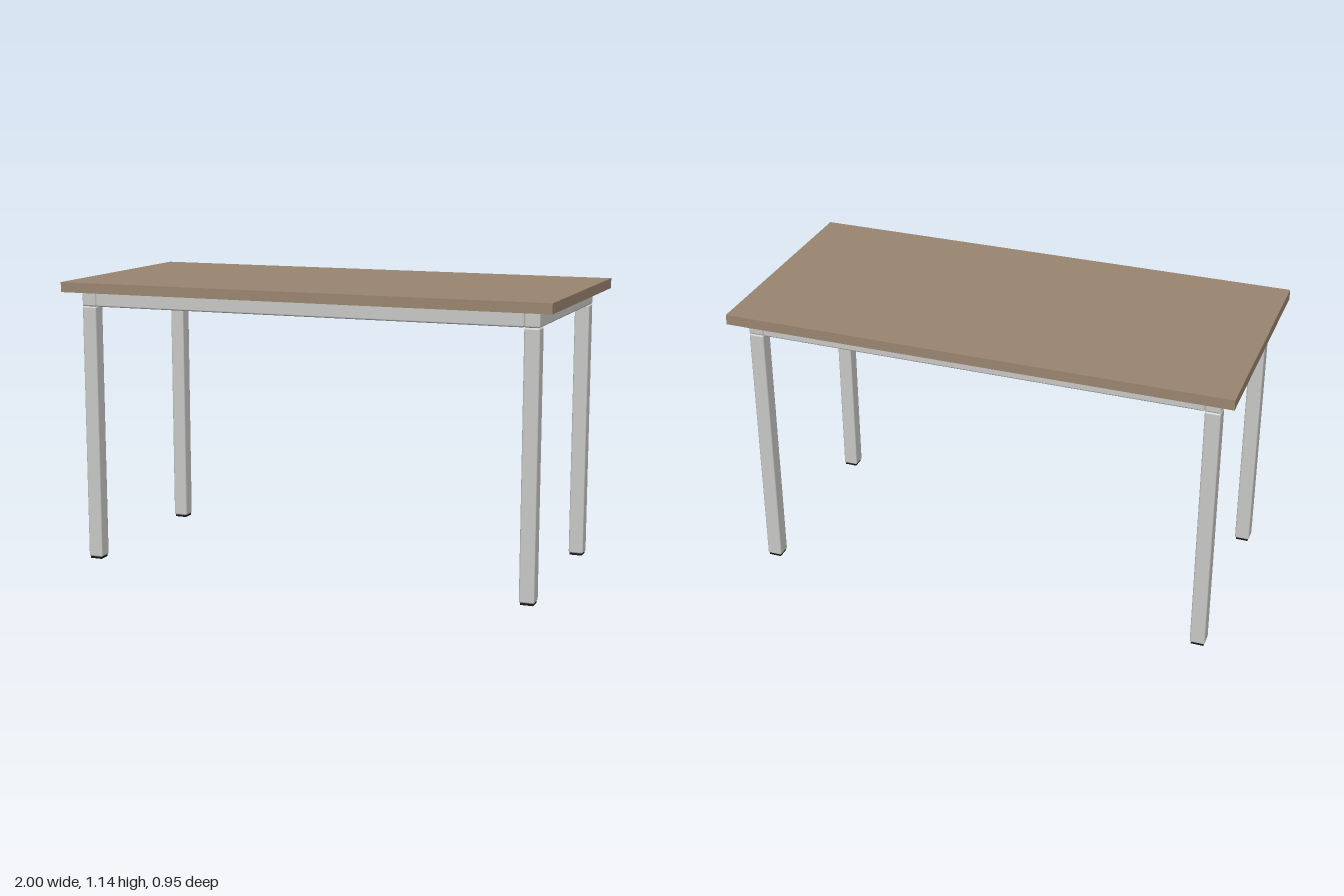
import * as THREE from 'three';
import { RoundedBoxGeometry } from 'three/addons/geometries/RoundedBoxGeometry.js';

const material = (name, color) => {
  const m = new THREE.MeshStandardMaterial({ color });
  m.name = name;
  return m;
};

export function createModel() {
  const table = new THREE.Group();
  table.name = 'table';

  const wood = material('brown laminate', 0x9a8670);
  const metal = material('light grey metal', 0xc9c9c7);
  const black = material('black plastic', 0x161616);

  const add = (name, geometry, mat, x, y, z) => {
    const mesh = new THREE.Mesh(geometry, mat);
    mesh.name = name;
    mesh.position.set(x, y, z);
    table.add(mesh);
  };

  const tube = 0.06; // square tube width
  const legX = 0.91, legZ = 0.385; // leg centre lines
  const railY = 1.07;
  const bar = (w, h, d) => new RoundedBoxGeometry(w, h, d, 2, 0.007);

  // Flat top
  add('tableTop', new THREE.BoxGeometry(2, 0.04, 0.95), wood, 0, 1.12, 0);

  // Frame: end rails run the full depth, long rails fit between them
  const endRail = bar(tube, tube, 2 * legZ + tube);
  const longRail = bar(2 * legX - tube, tube, tube);
  for (const s of [-1, 1]) {
    add(s > 0 ? 'leftEndRail' : 'rightEndRail', endRail, metal, s * legX, railY, 0);
    add(s > 0 ? 'frontRail' : 'backRail', longRail, metal, 0, railY, s * legZ);
  }

  // Hollow square foot glide
  const square = (Type, r) => new Type([[-r, -r], [r, -r], [r, r], [-r, r]].map(([x, y]) => new THREE.Vector2(x, y)));
  const footShape = square(THREE.Shape, 0.025);
  footShape.holes.push(square(THREE.Path, 0.016));
  const foot = new THREE.ExtrudeGeometry(footShape, { depth: 0.012, bevelEnabled: false });
  foot.rotateX(-Math.PI / 2);

  // Four legs with feet
  const leg = bar(tube, 1.032, tube);
  for (const sx of [-1, 1]) {
    for (const sz of [-1, 1]) {
      const corner = (sz > 0 ? 'front' : 'back') + (sx > 0 ? 'Left' : 'Right');
      add(corner + 'Leg', leg, metal, sx * legX, 0.524, sz * legZ);
      add(corner + 'Foot', foot, black, sx * legX, 0, sz * legZ);
    }
  }
  return table;
}
